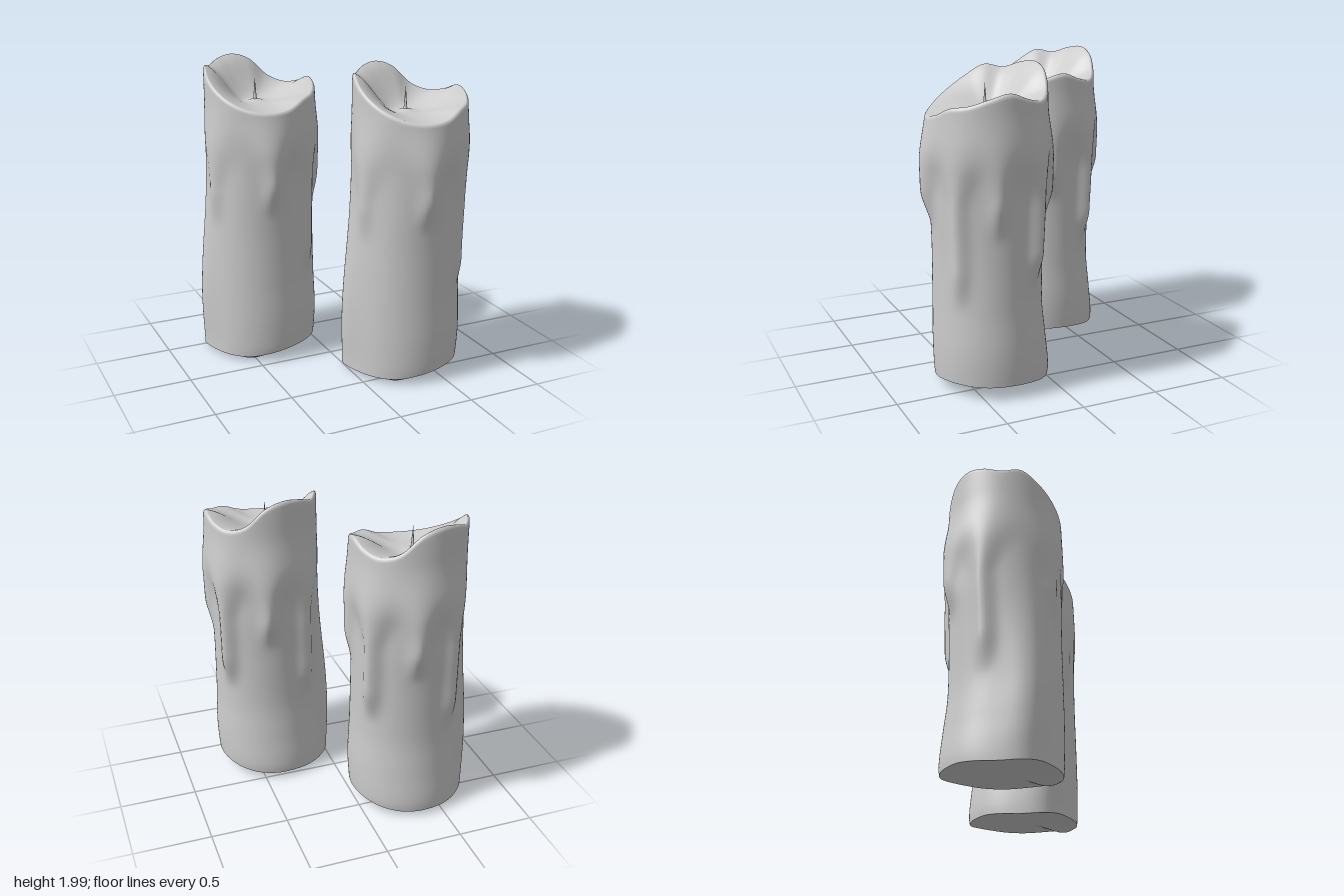
import * as THREE from 'three';

const SEG = 120;
const wax = new THREE.MeshStandardMaterial({ color: 0xcccccc });

// Heights of the melted rim and of the uneven foot, every 20 degrees from +x towards +z
const RIM = [1.87, 1.84, 1.80, 1.78, 1.73, 1.715, 1.73, 1.77, 1.83, 1.90, 1.965, 1.95, 1.985, 2.0, 1.96, 1.85, 1.81, 1.83];
const FOOT = [0.10, 0.10, 0.10, 0.10, 0.09, 0.07, 0.05, 0.045, 0.045, 0.045, 0.035, 0.03, 0.04, 0.05, 0.05, 0.055, 0.07, 0.09];

// Body extents: y, xMin, xMax, zMin, zMax
const BODY = [
  [0.00, -0.355, 0.365, -0.380, 0.325],
  [0.10, -0.350, 0.388, -0.388, 0.345],
  [0.30, -0.348, 0.395, -0.365, 0.352],
  [0.55, -0.345, 0.383, -0.340, 0.347],
  [0.90, -0.340, 0.378, -0.345, 0.345],
  [1.20, -0.335, 0.380, -0.360, 0.355],
  [1.50, -0.335, 0.385, -0.360, 0.360],
  [1.75, -0.335, 0.398, -0.368, 0.370],
  [2.00, -0.335, 0.395, -0.365, 0.365],
];

// Drips: angle in degrees, y of the lower tip, bulge
const DRIPS = [
  [97, 1.08, 0.062], [52, 0.62, 0.04], [12, 1.05, 0.042], [328, 0.72, 0.058],
  [281, 1.05, 0.06], [239, 0.62, 0.042], [165, 0.98, 0.03],
];

const smooth = THREE.MathUtils.smoothstep;
const cubic = (a, b, c, d, t) =>
  b + 0.5 * t * (c - a + t * (2 * a - 5 * b + 4 * c - d + t * (3 * (b - c) + d - a)));
const bell = (d, width) => Math.exp(-((d / width) ** 2));

function around(table, angle) {
  const n = table.length, s = (angle / (2 * Math.PI)) * n, i = Math.floor(s);
  const at = (k) => table[(k + n) % n];
  return cubic(at(i - 1), at(i), at(i + 1), at(i + 2), s - i);
}

function extent(y, column) {
  const last = BODY.length - 1;
  let i = 0;
  while (i < last - 1 && BODY[i + 1][0] < y) i++;
  const at = (k) => BODY[Math.min(last, Math.max(0, k))][column];
  const t = (y - BODY[i][0]) / (BODY[i + 1][0] - BODY[i][0]);
  return cubic(at(i - 1), at(i), at(i + 1), at(i + 2), t);
}

function angleFrom(angle, degrees) {
  const d = angle - THREE.MathUtils.degToRad(degrees);
  return Math.atan2(Math.sin(d), Math.cos(d));
}

function bulge(angle, y) {
  // slumped wax low on one side
  let sum = 0.055 * bell(angleFrom(angle, 194), 0.36) * bell(y - 0.45, 0.55);
  for (const [deg, tip, size] of DRIPS) {
    // narrow at the tip, merging with its neighbours below the rim
    const width = 0.16 + 0.26 * smooth(y, 1.2, 1.62);
    const along = smooth(y, tip - 0.06, tip + 0.2) * (1 - smooth(y, 1.42, 1.8));
    sum += size * along * bell(angleFrom(angle, deg), width);
  }
  return sum;
}

// Point on the outer skin
function skin(angle, y) {
  const [x0, x1, z0, z1] = [1, 2, 3, 4].map((c) => extent(y, c));
  const out = bulge(angle, y) - 0.006;
  return new THREE.Vector3(
    (x0 + x1) / 2 + Math.cos(angle) * ((x1 - x0) / 2 + out), y,
    (z0 + z1) / 2 + Math.sin(angle) * ((z1 - z0) / 2 + out));
}

// Closed rings of points joined into a surface
function loft(rows, point) {
  const pos = [], index = [];
  for (let j = 0; j < rows; j++)
    for (let i = 0; i < SEG; i++) pos.push(...point((i / SEG) * Math.PI * 2, j).toArray());
  for (let j = 0; j < rows - 1; j++)
    for (let i = 0; i < SEG; i++) {
      const k = (i + 1) % SEG, a = j * SEG + i, b = j * SEG + k;
      index.push(a, a + SEG, b, b, a + SEG, b + SEG);
    }
  const g = new THREE.BufferGeometry();
  g.setAttribute('position', new THREE.Float32BufferAttribute(pos, 3));
  g.setIndex(index);
  g.computeVertexNormals();
  return g;
}

function createCandle() {
  const candle = new THREE.Group();
  const add = (name, geometry) => {
    const mesh = new THREE.Mesh(geometry, wax);
    mesh.name = name;
    candle.add(mesh);
  };

  // Wax body: outer wall, rounded lip, then the melted hollow
  const WALL = 56, LIP = 6, BOWL = 20, lip = 0.03, inset = 0.05, pool = 1.735;
  const center = new THREE.Vector3();
  add('waxBody', loft(WALL + LIP + BOWL, (angle, j) => {
    const rim = around(RIM, angle), foot = around(FOOT, angle);
    const shoulder = rim - lip;
    if (j < WALL) return skin(angle, foot + (shoulder - foot) * (j / (WALL - 1)));
    const p = skin(angle, shoulder);
    if (j < WALL + LIP) {
      const t = ((j - WALL + 1) / LIP) * Math.PI / 2;
      p.lerp(center, inset * (1 - Math.cos(t)));
      p.y = shoulder + lip * Math.sin(t);
      return p;
    }
    const f = 1 - (j - WALL - LIP + 1) / BOWL;
    p.lerp(center, 1 - (1 - inset) * f);
    p.y = pool + (rim - pool) * smooth(f, 0.2, 1.06) + 0.015 * bell(f, 0.12);
    return p;
  }));

  // Underside, sagging to one low point
  add('base', loft(10, (angle, j) => {
    const f = j / 9, p = skin(angle, around(FOOT, angle)).multiplyScalar(f);
    const sag = 0.045 * bell(Math.hypot(p.x + 0.14, p.z - 0.21), 0.12) * (1 - f ** 8);
    p.y += 0.06 * (1 - f) - sag;
    return p;
  }));

  // Wick: thin tapering spike
  add('wick', new THREE.LatheGeometry(
    [[0.022, 1.73], [0.01, 1.76], [0.006, 1.82], [0, 1.89]].map(([r, y]) => new THREE.Vector2(r, y)), 12));
  return candle;
}

export function createModel() {
  const model = new THREE.Group();
  const places = [['backCandle', -0.375, -0.36], ['frontCandle', 0.35, 0.35]];
  for (const [name, x, z] of places) {
    const candle = createCandle();
    candle.name = name;
    candle.position.set(x, 0, z);
    model.add(candle);
  }
  return model;
}
